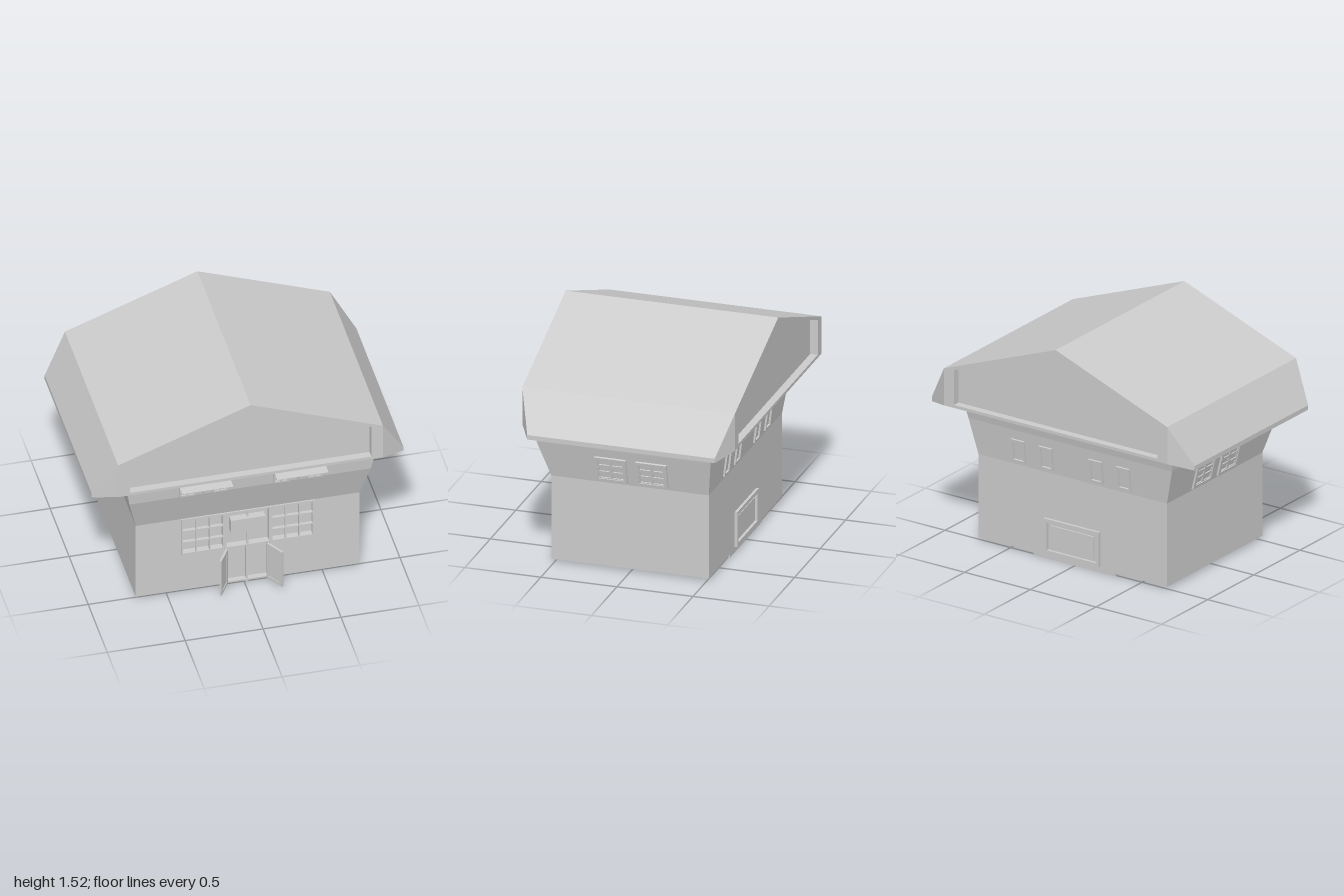
import * as THREE from 'three';
import { ConvexGeometry } from 'three/addons/geometries/ConvexGeometry.js';

const MAT = new THREE.MeshStandardMaterial({ color: 0xcccccc, flatShading: true });
const CX = 0.0175; // centre line of the walls and openings

function add(parent, name, geometry, x = 0, y = 0, z = 0) {
  const mesh = new THREE.Mesh(geometry, MAT);
  mesh.name = name;
  mesh.position.set(x, y, z);
  parent.add(mesh);
  return mesh;
}

// Box given by its lower and upper limits
function block(parent, name, x0, x1, y0, y1, z0, z1) {
  return add(parent, name, new THREE.BoxGeometry(x1 - x0, y1 - y0, z1 - z0),
    (x0 + x1) / 2, (y0 + y1) / 2, (z0 + z1) / 2);
}

const outline = pts => pts.map(([x, y]) => new THREE.Vector2(x, y));
const rect = (x0, x1, y0, y1) => outline([[x0, y0], [x1, y0], [x1, y1], [x0, y1]]);

function plate(points, holes, depth) {
  const shape = new THREE.Shape(points);
  for (const h of holes) shape.holes.push(new THREE.Path(h.slice().reverse()));
  return new THREE.ExtrudeGeometry(shape, { depth, bevelEnabled: false });
}

// Rectangular frame divided into panes, centred on x and y
function lattice(w, h, cols, rows, border, bar, depth) {
  const pw = (w - 2 * border - (cols - 1) * bar) / cols;
  const ph = (h - 2 * border - (rows - 1) * bar) / rows;
  const holes = [];
  for (let i = 0; i < cols; i++) {
    for (let j = 0; j < rows; j++) {
      const x = -w / 2 + border + i * (pw + bar);
      const y = -h / 2 + border + j * (ph + bar);
      holes.push(rect(x, x + pw, y, y + ph));
    }
  }
  return plate(rect(-w / 2, w / 2, -h / 2, h / 2), holes, depth);
}

// Stands a part on a wall: turn picks the wall, lean follows its slope
function onWall(mesh, turn, lean) {
  mesh.rotation.set(lean, turn, 0, 'YXZ');
  return mesh;
}

// Four-sided walls through levels [y, x0, x1, zBack, zFront]
function walls(levels) {
  const rings = levels.map(([y, x0, x1, zb, zf]) =>
    [[x1, y, zf], [x1, y, zb], [x0, y, zb], [x0, y, zf]]);
  const pos = [];
  for (let k = 0; k < rings.length - 1; k++) {
    for (let i = 0; i < 4; i++) {
      const j = (i + 1) % 4;
      const a = rings[k][i], b = rings[k][j], c = rings[k + 1][j], d = rings[k + 1][i];
      pos.push(...a, ...b, ...c, ...a, ...c, ...d);
    }
  }
  const g = new THREE.BufferGeometry();
  g.setAttribute('position', new THREE.Float32BufferAttribute(pos, 3));
  g.computeVertexNormals();
  return g;
}

function buildBody(house) {
  // Ground floor with a pierced front wall
  block(house, 'groundFloor', -0.7, 0.735, 0.02, 0.58, -0.515, 0.485);
  const openings = [
    rect(-0.4, -0.14, 0.31, 0.57),
    rect(-0.12, 0.155, 0.31, 0.57),
    rect(0.175, 0.435, 0.31, 0.57),
    rect(-0.115, 0.145, 0.03, 0.295),
  ];
  add(house, 'frontWall', plate(rect(-0.7, 0.735, 0.02, 0.58), openings, 0.035), 0, 0, 0.485);
  // Flared upper storey
  add(house, 'upperWalls', walls([
    [0.58, -0.7, 0.735, -0.515, 0.52],
    [0.82, -0.76, 0.79, -0.545, 0.6],
    [0.96, -0.782, 0.816, -0.577, 0.617],
  ]));
  // Base slab and front step
  block(house, 'baseSlab', -0.305, 0.315, 0, 0.021, -0.515, -0.02);
  block(house, 'frontStep', 0, 0.03, 0, 0.021, 0.475, 0.5);
}

function buildRoof(house) {
  const roof = new THREE.Group();
  roof.name = 'roof';
  house.add(roof);
  const zf = 0.672, zb = -0.725, recess = 0.05;
  const profile = outline([[-0.85, 0.95], [0.85, 0.95], [0.85, 1.2], [0, 1.52], [-0.85, 1.2]]);
  const gable = outline([[-0.775, 0.97], [0.775, 0.97], [0.775, 1.205], [0, 1.492], [-0.775, 1.205]]);
  add(roof, 'roofCore', plate(profile, [], zf - zb - 2 * recess), 0, 0, zb + recess);
  add(roof, 'frontGableFrame', plate(profile, [gable], recess), 0, 0, zf - recess);
  add(roof, 'backGableFrame', plate(profile, [gable], recess), 0, 0, zb);
  // Steep eaves with clipped corners
  for (const s of [-1, 1]) {
    const pts = [];
    for (const [zIn, zOut] of [[zf, 0.59], [zb, -0.643]]) {
      pts.push(new THREE.Vector3(s * 0.85, 1.2, zIn), new THREE.Vector3(s * 0.85, 0.95, zIn),
        new THREE.Vector3(s, 0.945, zOut), new THREE.Vector3(s, 0.915, zOut));
    }
    add(roof, s > 0 ? 'leftEave' : 'rightEave', new ConvexGeometry(pts));
  }
}

function buildFront(house) {
  // Shop windows, middle post and sign board
  for (const s of [-1, 1]) {
    add(house, 'shopWindow', lattice(0.28, 0.28, 3, 3, 0.012, 0.008, 0.022), CX + s * 0.287, 0.44, 0.507);
  }
  add(house, 'middleWindowFrame', lattice(0.294, 0.28, 2, 1, 0.01, 0.01, 0.022), CX, 0.44, 0.507);
  block(house, 'signBoard', -0.095, 0.125, 0.43, 0.53, 0.5, 0.55);
  block(house, 'doorPost', 0.01, 0.022, 0.005, 0.3, 0.485, 0.515);
  // Double doors swung outwards
  for (const s of [-1, 1]) {
    const door = new THREE.Group();
    door.name = s > 0 ? 'leftDoor' : 'rightDoor';
    door.position.set(CX - 0.0025 + s * 0.13, 0.155, 0.52);
    door.rotation.y = -Math.atan2(0.115, s * 0.07);
    add(door, 'doorFrame', lattice(0.135, 0.27, 1, 1, 0.02, 0, 0.014), 0.0675, 0, -0.007);
    add(door, 'doorPanel', new THREE.BoxGeometry(0.1, 0.235, 0.005), 0.0675, 0, 0);
    house.add(door);
  }
  // Upper windows in pairs, each pair under an awning with a strut
  for (const s of [-1, 1]) {
    for (const d of [0.195, 0.408]) {
      const w = lattice(0.1, 0.105, 2, 3, 0.012, 0.01, 0.015);
      onWall(add(house, 'upperFrontWindow', w, CX + s * d, 0.88, 0.605), 0, 0.115);
    }
    const x = CX + s * 0.305;
    const awning = add(house, 'awning', new THREE.BoxGeometry(0.33, 0.006, 0.12), x, 0.94, 0.662);
    awning.rotation.x = 0.1;
    const strut = add(house, 'awningStrut', new THREE.BoxGeometry(0.01, 0.11, 0.012), x, 0.885, 0.63);
    strut.rotation.x = 0.5;
  }
}

function buildSidesAndBack(house) {
  // Barred windows on both side walls
  for (const [x, turn] of [[0.756, Math.PI / 2], [-0.722, -Math.PI / 2]]) {
    for (const z of [0.118, -0.15]) {
      const frame = lattice(0.205, 0.175, 1, 1, 0.02, 0, 0.016);
      onWall(add(house, 'sideWindowFrame', frame, x, 0.68, z), turn, 0.235);
      const bars = lattice(0.17, 0.14, 2, 3, 0.008, 0.018, 0.01);
      onWall(add(house, 'sideWindowBars', bars, x, 0.68, z), turn, 0.235);
    }
  }
  // Narrow back windows
  for (const d of [-0.4, -0.19, 0.19, 0.4]) {
    const w = lattice(0.1, 0.155, 1, 1, 0.014, 0, 0.014);
    onWall(add(house, 'backWindow', w, CX + d, 0.68, -0.526), Math.PI, 0.124);
  }
  // Framed hatch low on the back wall
  onWall(add(house, 'hatchFrame', lattice(0.42, 0.235, 1, 1, 0.025, 0, 0.02), CX, 0.155, -0.513), Math.PI, 0);
  block(house, 'hatchPanel', CX - 0.165, CX + 0.165, 0.08, 0.23, -0.524, -0.51);
}

export function createModel() {
  const house = new THREE.Group();
  house.name = 'house';
  buildBody(house);
  buildRoof(house);
  buildFront(house);
  buildSidesAndBack(house);
  return house;
}
